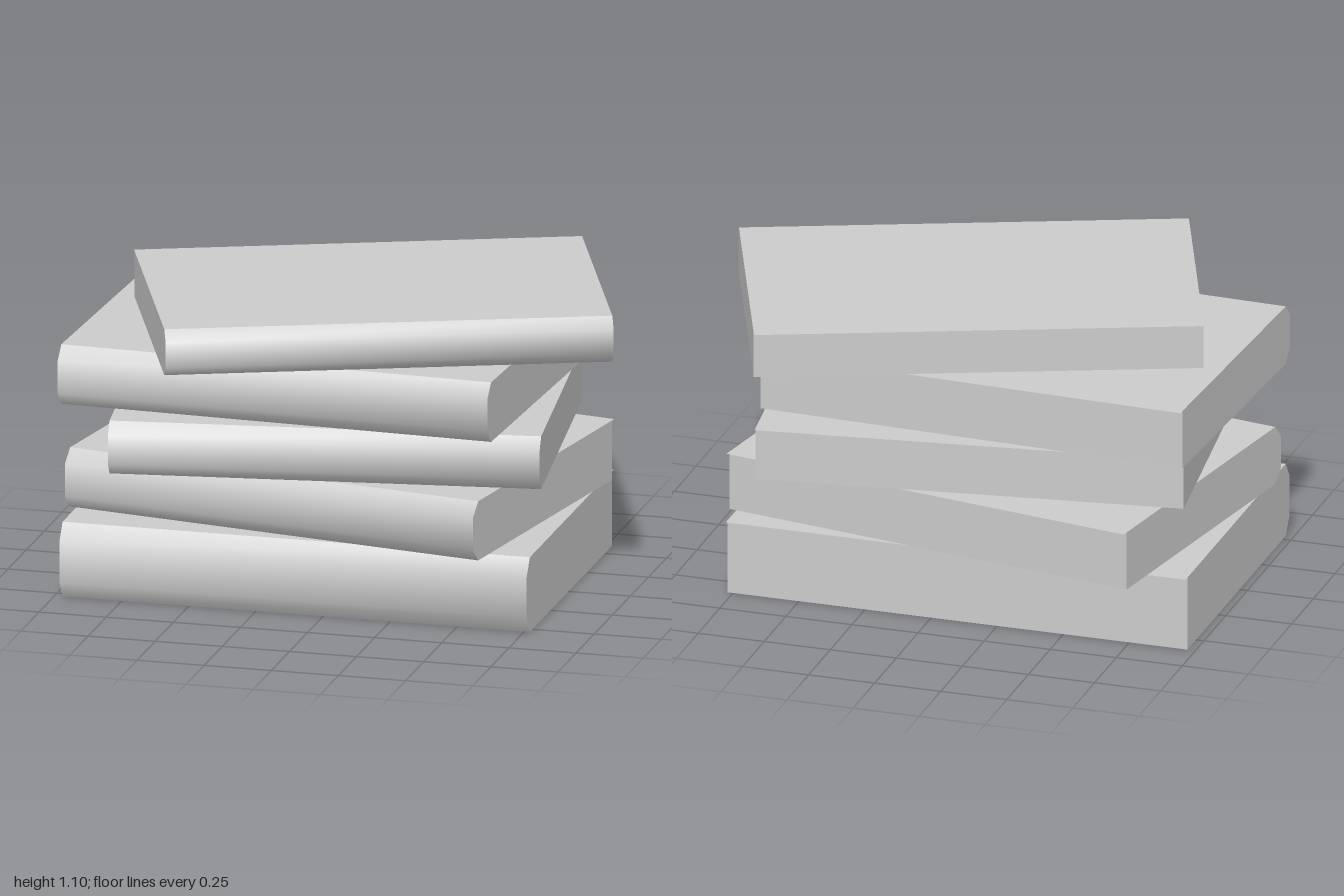
import * as THREE from 'three';
import { toCreasedNormals } from 'three/addons/utils/BufferGeometryUtils.js';

const SPINE = 0.045;    // how far the spine bulges forward
const OVERHANG = 0.022; // how far the top cover passes the pages

// Each book: bottom, top, width, depth, centre x, centre z, turn in degrees
const BOOKS = [
  [0.00, 0.28, 1.74, 1.20, -0.10, -0.02, 0],
  [0.28, 0.502, 1.62, 1.20, -0.10, -0.065, -10],
  [0.502, 0.70, 1.565, 1.20, -0.07, -0.03, 7.7],
  [0.70, 0.923, 1.62, 1.125, -0.163, -0.02, -2.4],
  [0.923, 1.095, 1.62, 1.065, 0.045, 0, 21.2],
];

const grey = new THREE.MeshStandardMaterial({ color: 0xcccccc });
const thinGrey = new THREE.MeshStandardMaterial({ color: 0xcccccc, side: THREE.DoubleSide });

function addPart(parent, name, geometry, material = grey) {
  const mesh = new THREE.Mesh(geometry, material);
  mesh.name = name;
  parent.add(mesh);
}

function createBook(height, width, depth) {
  const book = new THREE.Group();
  const back = -depth / 2 + OVERHANG;
  const front = depth / 2 - SPINE;

  // Block of pages
  const pages = new THREE.BoxGeometry(width, height, front - back);
  pages.translate(0, height / 2, (front + back) / 2);
  addPart(book, 'pages', pages);

  // Rounded spine: a three-sided bulge with smooth shading along its length
  const bevel = height * 0.23;
  const profile = new THREE.Shape([
    new THREE.Vector2(front, 0),
    new THREE.Vector2(front + SPINE, bevel),
    new THREE.Vector2(front + SPINE, height - bevel),
    new THREE.Vector2(front, height),
  ]);
  const spine = new THREE.ExtrudeGeometry(profile, { depth: width, bevelEnabled: false });
  spine.rotateY(-Math.PI / 2).translate(width / 2, 0, 0);
  addPart(book, 'spine', toCreasedNormals(spine, Math.PI / 3));

  // Thin lip of the top cover behind the pages
  const lip = new THREE.PlaneGeometry(width, OVERHANG);
  lip.rotateX(-Math.PI / 2).translate(0, height, back - OVERHANG / 2);
  addPart(book, 'coverLip', lip, thinGrey);

  return book;
}

export function createModel() {
  const stack = new THREE.Group();
  stack.name = 'bookStack';
  BOOKS.forEach(([bottom, top, width, depth, x, z, turn], i) => {
    const book = createBook(top - bottom, width, depth);
    book.name = `book${i + 1}`;
    book.position.set(x, bottom, z);
    book.rotation.y = THREE.MathUtils.degToRad(turn);
    stack.add(book);
  });
  return stack;
}
